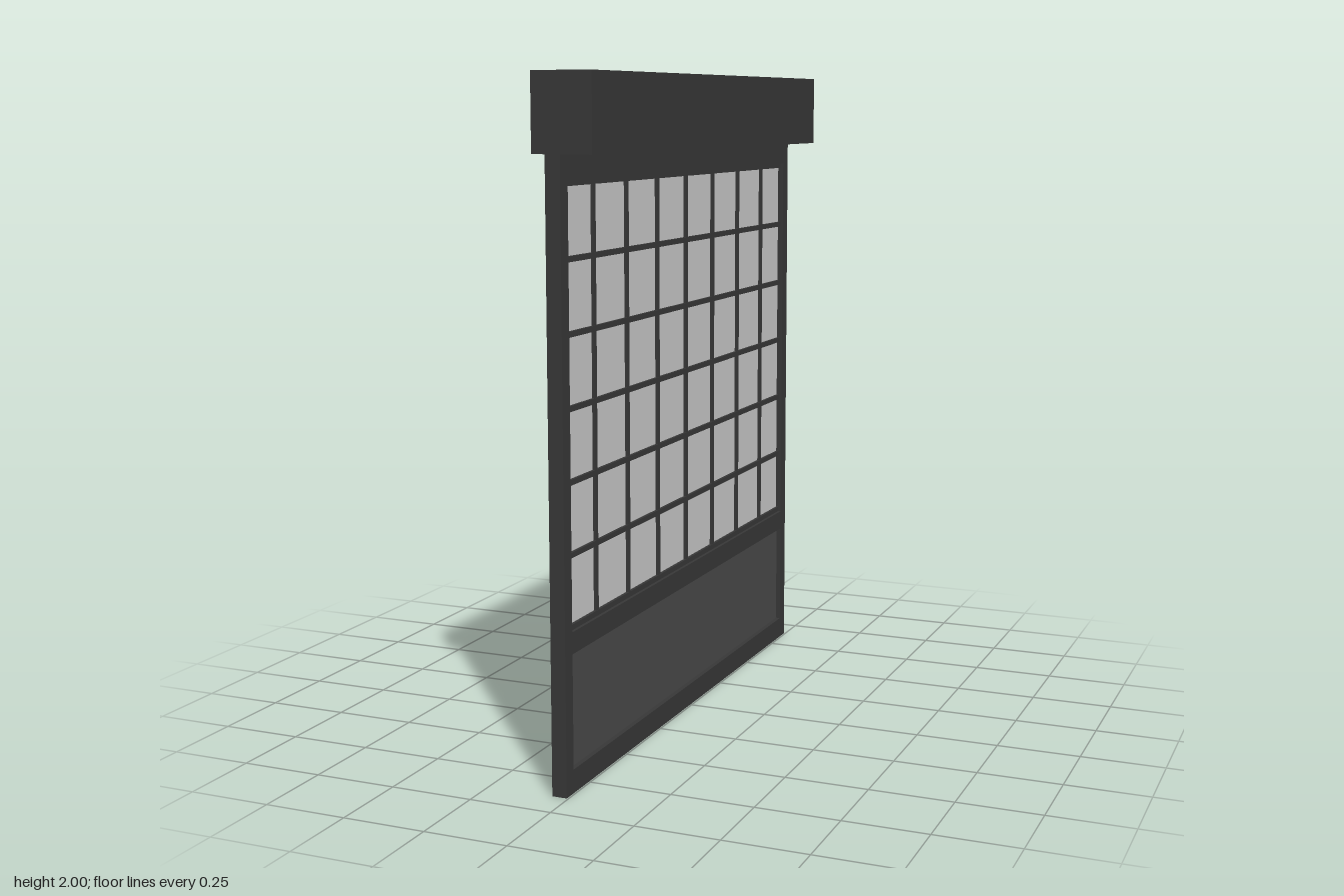
import * as THREE from 'three';

const dark = new THREE.MeshStandardMaterial({ color: 0x383838 });
const infill = new THREE.MeshStandardMaterial({ color: 0x4a4a4a });
const pane = new THREE.MeshStandardMaterial({ color: 0xcccccc });

const HALF = 0.89;      // half width along z
const INNER = 0.845;    // half width of the openings
const FRONT = -0.005, BACK = -0.05;
const MID = (FRONT + BACK) / 2;

function box(name, mat, w, h, d, x, y, z) {
  const mesh = new THREE.Mesh(new THREE.BoxGeometry(w, h, d), mat);
  mesh.name = name;
  mesh.position.set(x, y, z);
  return mesh;
}

function rectangle(PathType, half, y0, y1) {
  return new PathType([
    new THREE.Vector2(-half, y0), new THREE.Vector2(half, y0),
    new THREE.Vector2(half, y1), new THREE.Vector2(-half, y1),
  ]);
}

export function createModel() {
  const model = new THREE.Group();
  model.name = 'rollerDoor';

  // Shutter housing across the top
  model.add(box('housing', dark, 0.18, 0.22, HALF * 2, 0, 1.89, 0));

  // Outer frame with a window opening and a kick panel opening
  const outline = rectangle(THREE.Shape, HALF, 0, 1.785);
  outline.holes.push(rectangle(THREE.Path, INNER, 0.466, 1.71));
  outline.holes.push(rectangle(THREE.Path, INNER, 0.069, 0.403));
  const frameGeometry = new THREE.ExtrudeGeometry(outline, { depth: FRONT - BACK, bevelEnabled: false });
  frameGeometry.rotateY(Math.PI / 2).translate(BACK, 0, 0);
  const frame = new THREE.Mesh(frameGeometry, dark);
  frame.name = 'frame';
  model.add(frame);

  // Recessed infills
  model.add(box('kickPanel', infill, 0.015, 0.336, INNER * 2, MID, 0.236, 0));
  model.add(box('glass', pane, 0.008, 1.246, INNER * 2, MID, 1.088, 0));

  // Glazing bars
  const bars = new THREE.Group();
  bars.name = 'glazingBars';
  for (let i = -3; i <= 3; i++) {
    bars.add(box('verticalBar', dark, 0.024, 1.244, 0.016, MID, 1.088, i * 0.22));
  }
  for (let i = 0; i <= 6; i++) {
    bars.add(box('horizontalBar', dark, 0.026, 0.016, INNER * 2, MID, 0.474 + i * 0.2047, 0));
  }
  model.add(bars);

  return model;
}
